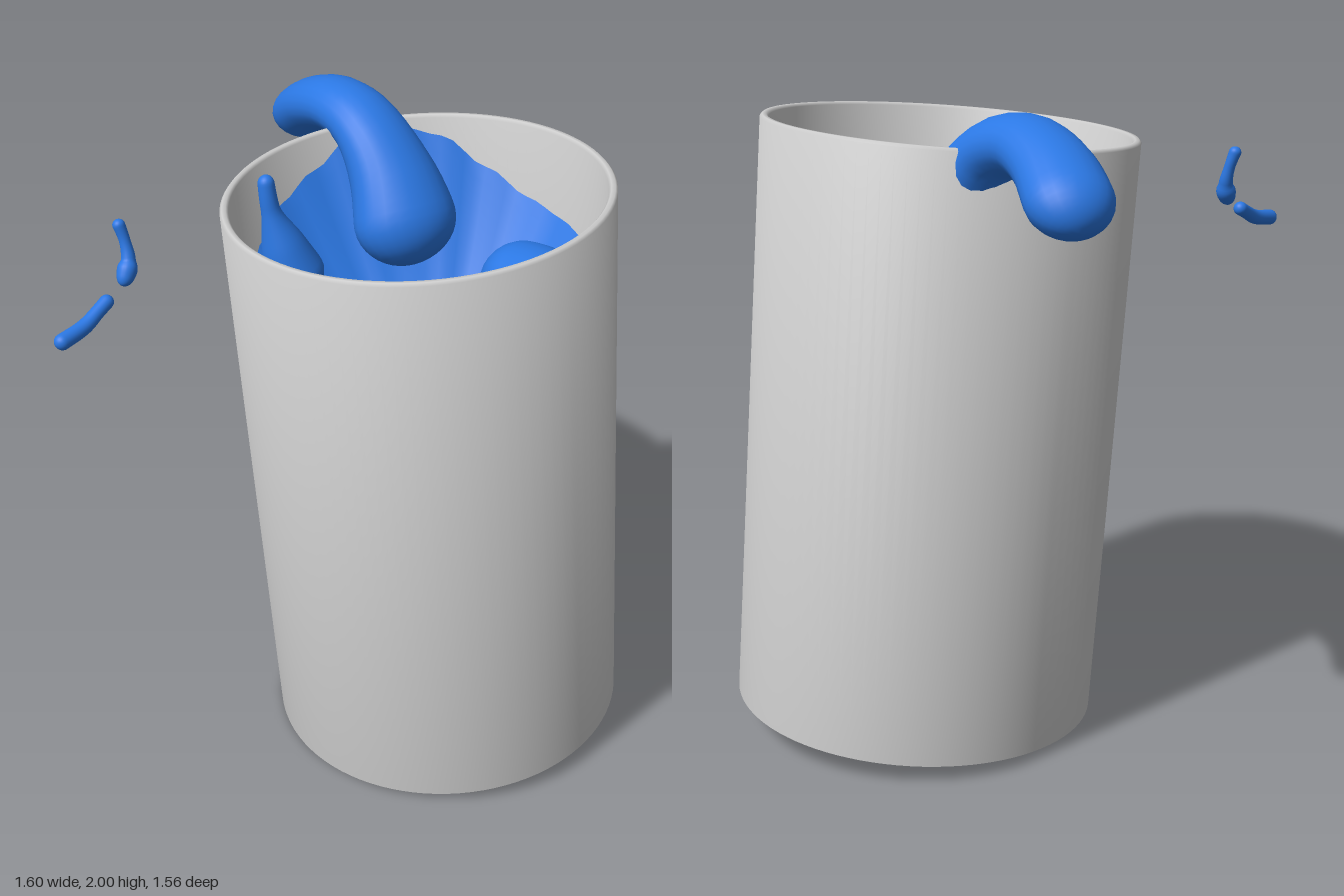
import * as THREE from 'three';
import { toCreasedNormals } from 'three/addons/utils/BufferGeometryUtils.js';

const BASE = new THREE.Vector3(0.225, 0.046, 0.21);
const TOP = new THREE.Vector3(0.095, 1.885, 0.14);

// Sweep an ellipse along a curve; rows are [x, y, z, side radius, other radius], ends rounded
function sweep(rows, up = [0, 1, 0], steps = 40, sides = 24) {
  const path = new THREE.CatmullRomCurve3(rows.map(r => new THREE.Vector3(r[0], r[1], r[2])));
  const radii = new THREE.CatmullRomCurve3(rows.map(r => new THREE.Vector3(r[3], r[4] ?? r[3], 0)));
  const upV = new THREE.Vector3(...up);
  const length = path.getLength();
  const pos = [], index = [];
  for (let i = 0; i <= steps; i++) {
    const t = (1 - Math.cos(Math.PI * i / steps)) / 2;
    const u = path.getUtoTmapping(t);
    const p = path.getPoint(u), tan = path.getTangent(u), rad = radii.getPoint(u);
    const side = tan.clone().cross(upV).normalize();
    const nrm = side.clone().cross(tan);
    const d = Math.min(1, Math.min(t, 1 - t) * length / rad.x);
    const cap = Math.max(0.001, Math.sqrt(1 - (1 - d) ** 2));
    for (let j = 0; j < sides; j++) {
      const a = j / sides * Math.PI * 2;
      const q = p.clone().addScaledVector(side, Math.cos(a) * rad.x * cap)
        .addScaledVector(nrm, Math.sin(a) * rad.y * cap);
      pos.push(q.x, q.y, q.z);
      if (i < steps) {
        const k = i * sides + j, n = i * sides + (j + 1) % sides;
        index.push(k, n, k + sides, n, n + sides, k + sides);
      }
    }
  }
  return build(pos, index);
}

function build(pos, index) {
  const g = new THREE.BufferGeometry();
  g.setAttribute('position', new THREE.Float32BufferAttribute(pos, 3));
  g.setIndex(index);
  g.computeVertexNormals();
  return g;
}

// Liquid height along the wall, every 15 degrees from +x towards +z
const WALL = [1.68, 1.65, 1.62, 1.58, 1.57, 1.58, 1.4, 1.15, 1.0, 0.92, 0.87, 0.85,
  0.85, 0.9, 1.0, 1.15, 1.38, 1.6, 1.69, 1.76, 1.85, 1.87, 1.84, 1.75];

function liquidSurface(rings = 24, seg = 96) {
  const pos = [], index = [];
  const slope = TOP.clone().sub(BASE).divideScalar(TOP.y - BASE.y);
  for (let i = 0; i <= rings; i++) {
    for (let j = 0; j < seg; j++) {
      const r = i / rings, a = j / seg * Math.PI * 2, f = j / seg * 24;
      const k = Math.floor(f), s = (1 - Math.cos((f - k) * Math.PI)) / 2;
      const w = THREE.MathUtils.lerp(WALL[k], WALL[(k + 1) % 24], s);
      const y = 1.15 + (w - 1.15) * r ** 1.7;
      const c = BASE.clone().addScaledVector(slope, y - BASE.y);
      pos.push(c.x + r * 0.546 * Math.cos(a), y, c.z + r * 0.546 * Math.sin(a));
      if (i < rings) {
        const p = i * seg + j, n = i * seg + (j + 1) % seg;
        index.push(p, n, p + seg, n, n + seg, p + seg);
      }
    }
  }
  return build(pos, index);
}

export function createModel() {
  const group = new THREE.Group();
  const grey = new THREE.MeshStandardMaterial({ name: 'cup grey', color: 0xcccccc });
  const blue = new THREE.MeshStandardMaterial({ name: 'liquid blue', color: 0x2b78e4, side: THREE.DoubleSide });
  const add = (name, geometry, material) => {
    const m = new THREE.Mesh(geometry, material);
    m.name = name;
    group.add(m);
    return m;
  };

  // Tilted hollow cup
  const axis = TOP.clone().sub(BASE);
  const h = axis.length();
  const profile = [[0, 0], [0.575, 0], [0.575, h - 0.008], [0.568, h], [0.556, h],
    [0.549, h - 0.008], [0.549, 0.03], [0, 0.03]].map(p => new THREE.Vector2(...p));
  const cup = add('cup', toCreasedNormals(new THREE.LatheGeometry(profile, 96), 0.9), grey);
  cup.position.copy(BASE);
  cup.quaternion.setFromUnitVectors(new THREE.Vector3(0, 1, 0), axis.normalize());

  // Sloshing liquid inside the cup
  add('liquidSurface', liquidSurface(), blue);

  // Large splash leaping over the rim
  add('splash', sweep([
    [0.34, 1.5, -0.05, 0.2, 0.16], [0.38, 1.74, -0.17, 0.15, 0.12], [0.4, 1.885, -0.3, 0.118, 0.09],
    [0.425, 1.915, -0.42, 0.11, 0.085], [0.475, 1.88, -0.55, 0.115, 0.087],
    [0.54, 1.81, -0.66, 0.122, 0.092], [0.6, 1.745, -0.74, 0.12, 0.09]]), blue);

  // Curling wave along the front wall
  add('wave', sweep([
    [0.56, 1.42, 0.1, 0.15, 0.14], [0.52, 1.47, 0.3, 0.14, 0.12], [0.42, 1.52, 0.46, 0.1, 0.09],
    [0.3, 1.58, 0.58, 0.06, 0.06], [0.16, 1.65, 0.635, 0.025, 0.025]]), blue);

  // Small spike rising by the back wall
  add('spike', sweep([
    [0.08, 1.42, -0.3, 0.12], [0.03, 1.6, -0.33, 0.07], [0.0, 1.72, -0.35, 0.03],
    [-0.005, 1.83, -0.365, 0.025]], [1, 0, 0]), blue);

  // Flying droplets
  add('lowerDroplet', sweep([
    [-0.8, 1.543, -0.455, 0.025], [-0.69, 1.56, -0.455, 0.023], [-0.63, 1.585, -0.458, 0.021],
    [-0.575, 1.61, -0.46, 0.022]]), blue);
  add('upperDroplet', sweep([
    [-0.49, 1.812, -0.505, 0.02], [-0.483, 1.75, -0.485, 0.017], [-0.49, 1.69, -0.468, 0.022],
    [-0.53, 1.628, -0.455, 0.022]], [0, 0, 1]), blue);

  return group;
}
